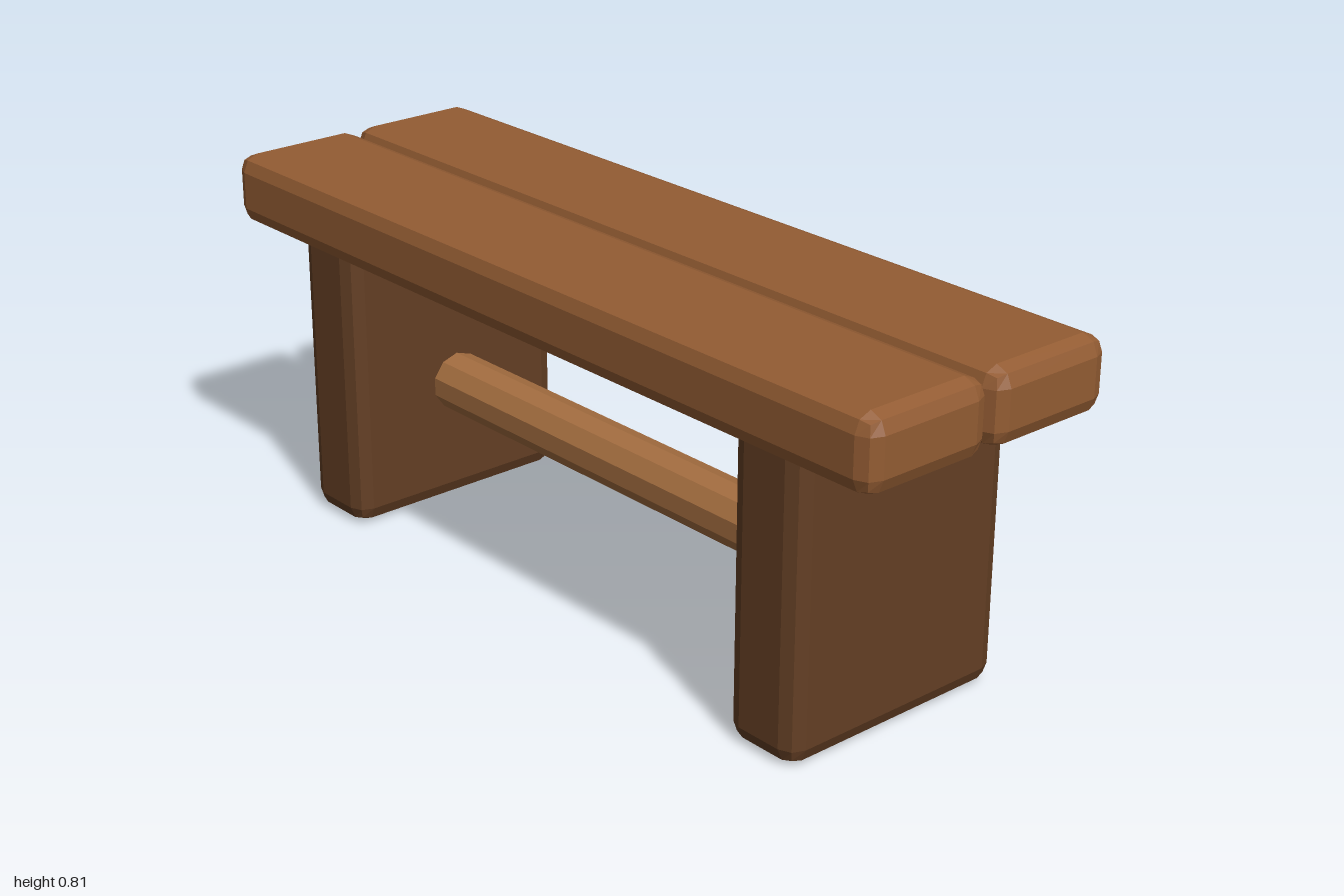
import * as THREE from 'three';
import { RoundedBoxGeometry } from 'three/addons/geometries/RoundedBoxGeometry.js';

const wood = (color) => new THREE.MeshStandardMaterial({ color, flatShading: true });

export function createModel() {
  const bench = new THREE.Group();
  bench.name = 'bench';

  const plankWood = wood(0x935c33);
  const legWood = wood(0x643f24);
  const barWood = wood(0xa56e40);

  const add = (name, geometry, material, x, y, z) => {
    const mesh = new THREE.Mesh(geometry, material);
    mesh.name = name;
    mesh.position.set(x, y, z);
    bench.add(mesh);
    return mesh;
  };

  // Two seat planks with a narrow gap between them
  const plank = new RoundedBoxGeometry(2, 0.16, 0.313, 1, 0.038);
  add('frontSeatPlank', plank, plankWood, 0, 0.725, 0.1615);
  add('backSeatPlank', plank, plankWood, 0, 0.725, -0.1615);

  // Slab legs, their tops sunk into the planks
  const leg = new RoundedBoxGeometry(0.185, 0.725, 0.568, 1, 0.038);
  add('leftLeg', leg, legWood, 0.704, 0.3625, 0);
  add('rightLeg', leg, legWood, -0.704, 0.3625, 0);

  // Ten-sided stretcher bar between the legs, one ridge pointing up
  const bar = new THREE.CylinderGeometry(0.067, 0.067, 1.3, 10, 1, false, Math.PI / 2);
  bar.rotateZ(Math.PI / 2);
  add('stretcherBar', bar, barWood, 0, 0.289, 0);

  return bench;
}
